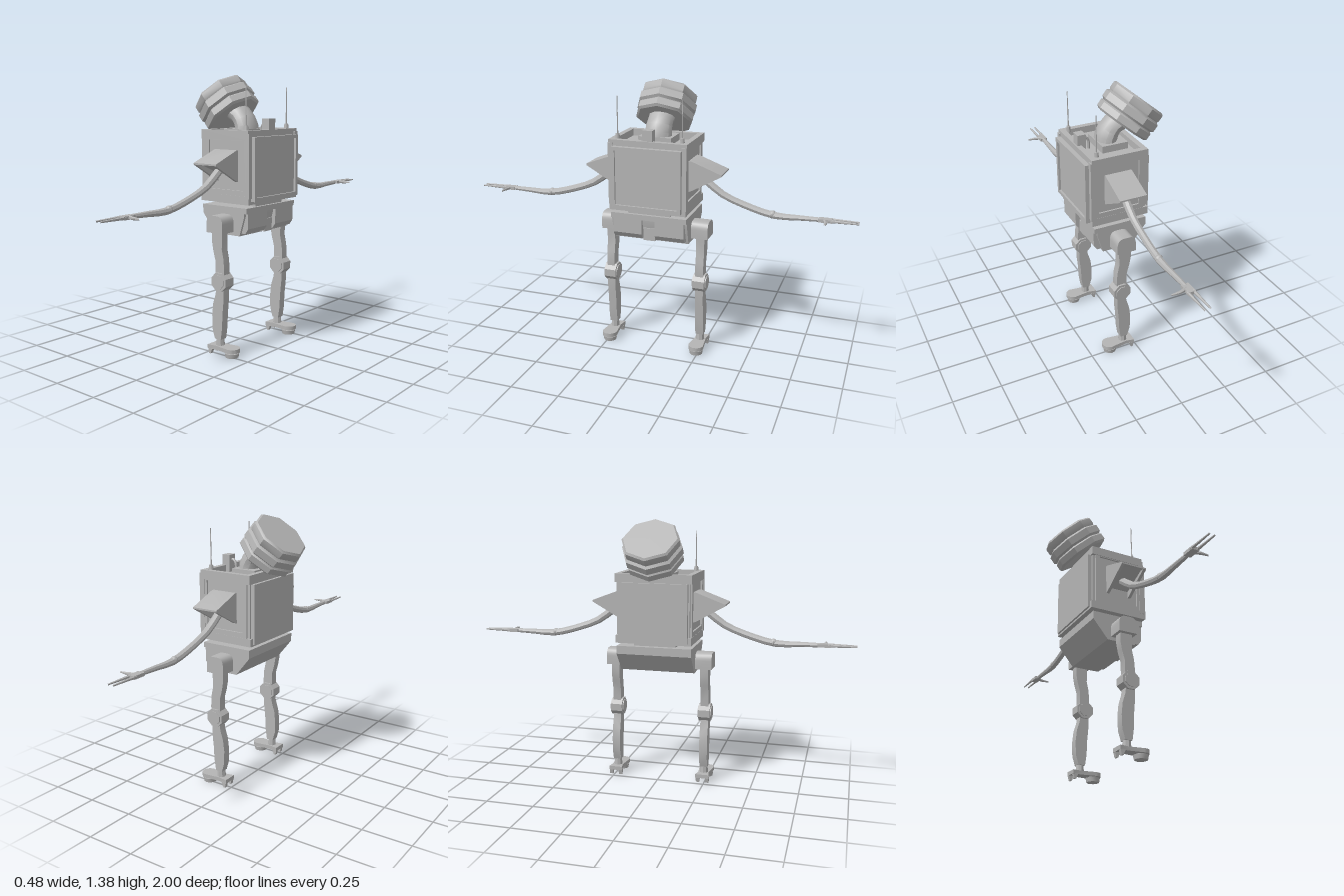
import * as THREE from 'three';
import { toCreasedNormals } from 'three/addons/utils/BufferGeometryUtils.js';

const grey = new THREE.MeshStandardMaterial({ color: 0xb4b4b4 });
grey.name = 'grey metal';

// Box from its min and max corners
function box(x0, x1, y0, y1, z0, z1) {
  return new THREE.BoxGeometry(x1 - x0, y1 - y0, z1 - z0)
    .translate((x0 + x1) / 2, (y0 + y1) / 2, (z0 + z1) / 2);
}
const poly = (pts) => new THREE.Shape(pts.map((p) => new THREE.Vector2(...p)));
// Profile in x,y pushed along z
function alongZ(shape, z0, z1) {
  return new THREE.ExtrudeGeometry(shape, { depth: z1 - z0, bevelEnabled: false, curveSegments: 6 })
    .translate(0, 0, z0);
}
// Profile in z,y pushed along x
function alongX(shape, x0, x1) {
  return new THREE.ExtrudeGeometry(shape, { depth: x1 - x0, bevelEnabled: false })
    .rotateY(-Math.PI / 2).translate(x1, 0, 0);
}
// Rectangular border
function frame(u0, u1, v0, v1, w) {
  const s = poly([[u0, v0], [u1, v0], [u1, v1], [u0, v1]]);
  s.holes.push(poly([[u0 + w, v0 + w], [u0 + w, v1 - w], [u1 - w, v1 - w], [u1 - w, v0 + w]]));
  return s;
}
// Round limb with a varying radius along points [x, y, z, radius]
function limb(points, sides = 8) {
  const curve = new THREE.CatmullRomCurve3(points.map((p) => new THREE.Vector3(p[0], p[1], p[2])));
  const n = (points.length - 1) * 2;
  const geo = new THREE.TubeGeometry(curve, n, 1, sides, false);
  const pos = geo.attributes.position;
  const v = new THREE.Vector3();
  for (let i = 0; i <= n; i++) {
    const c = curve.getPointAt(i / n);
    const t = (i / n) * (points.length - 1);
    const k = Math.min(Math.floor(t), points.length - 2);
    const r = THREE.MathUtils.lerp(points[k][3], points[k + 1][3], t - k);
    for (let j = 0; j <= sides; j++) {
      const id = i * (sides + 1) + j;
      v.fromBufferAttribute(pos, id).sub(c).multiplyScalar(r).add(c);
      pos.setXYZ(id, v.x, v.y, v.z);
    }
  }
  return geo;
}
// Mirror across z = 0, keeping faces outward
function mirrorZ(geo) {
  const g = geo.index ? geo.toNonIndexed() : geo.clone();
  g.scale(1, 1, -1);
  const p = g.attributes.position;
  const a = new THREE.Vector3(), b = new THREE.Vector3();
  for (let i = 0; i < p.count; i += 3) {
    a.fromBufferAttribute(p, i + 1);
    b.fromBufferAttribute(p, i + 2);
    p.setXYZ(i + 1, b.x, b.y, b.z);
    p.setXYZ(i + 2, a.x, a.y, a.z);
  }
  return g;
}

export function createModel() {
  const model = new THREE.Group();
  model.name = 'robot';
  const add = (name, geo) => {
    const mesh = new THREE.Mesh(toCreasedNormals(geo, 0.6), grey);
    mesh.name = name;
    model.add(mesh);
  };
  const pair = (name, geo) => {
    add(name + 'PlusZ', geo);
    add(name + 'MinusZ', mirrorZ(geo));
  };

  // Torso with an open top rim and a stepped base
  add('torso', box(-0.08, 0.205, 0.76, 1.08, -0.188, 0.188));
  add('torsoBase', box(-0.09, 0.212, 0.76, 0.8, -0.198, 0.198));
  add('topRim', alongZ(frame(-0.085, 0.21, -0.2, 0.2, 0.028), 0, 0.045)
    .rotateX(-Math.PI / 2).translate(0, 1.07, 0));
  add('chestPanel', box(-0.1, -0.08, 0.77, 1.07, -0.18, 0.18));
  add('backPanel', box(0.2, 0.224, 0.785, 1.075, -0.17, 0.17));
  add('backPanelFrame', alongX(frame(-0.178, 0.178, 0.775, 1.085, 0.018), 0.2, 0.235));
  pair('sideFrame', alongZ(frame(-0.065, 0.2, 0.8, 1.09, 0.025), 0.185, 0.197));
  pair('cornerPost', box(0.19, 0.216, 0.79, 1.1, 0.175, 0.2));

  // Aerials and the rear top block with its hook
  pair('aerial', new THREE.CylinderGeometry(0.002, 0.004, 0.22, 6).translate(0.17, 1.21, 0.165));
  pair('aerialBase', new THREE.CylinderGeometry(0.01, 0.013, 0.03, 8).translate(0.17, 1.123, 0.165));
  add('topBlock', box(0.16, 0.203, 1.07, 1.168, -0.025, 0.025));
  add('hook', limb([[0.135, 1.08, 0, 0.007], [0.138, 1.125, 0, 0.007],
    [0.15, 1.142, 0, 0.007], [0.165, 1.143, 0, 0.007]], 6));

  // Curved neck
  add('neck', limb([[0.04, 1.06, 0, 0.06], [0.045, 1.12, 0, 0.054],
    [0.015, 1.175, 0, 0.05], [-0.05, 1.215, 0, 0.055]], 12).scale(1, 1, 1.3));
  add('neckCollar', box(-0.035, 0.1, 1.07, 1.115, -0.085, 0.085));

  // Tilted eight-sided ribbed head
  const rings = [[0, -0.078], [0.138, -0.078], [0.15, -0.068], [0.15, -0.036], [0.142, -0.028],
    [0.155, -0.018], [0.155, 0.018], [0.142, 0.028], [0.147, 0.036], [0.147, 0.068],
    [0.138, 0.078], [0, 0.078]].map((p) => new THREE.Vector2(...p));
  add('head', new THREE.LatheGeometry(rings, 8)
    .rotateZ(THREE.MathUtils.degToRad(40)).translate(-0.088, 1.235, 0));

  // Waist and pelvis
  add('waist', box(-0.05, 0.185, 0.735, 0.77, -0.11, 0.11));
  add('pelvis', alongZ(poly([[-0.08, 0.7], [0, 0.602], [0.155, 0.602], [0.185, 0.7],
    [0.185, 0.742], [-0.08, 0.742]]), -0.197, 0.197));
  add('pelvisLip', box(0.17, 0.2, 0.715, 0.742, -0.197, 0.197));
  pair('pelvisPouch', alongZ(poly([[0.155, 0.615], [0.182, 0.615], [0.2, 0.64], [0.2, 0.717],
    [0.16, 0.717]]), 0.035, 0.185));
  add('pelvisStud', box(0.15, 0.182, 0.606, 0.67, -0.03, 0.03));

  // Shoulder hoods with a recessed underside
  const hood = poly([[0.185, 0.865], [0.2, 0.87], [0.352, 0.955], [0.352, 0.963], [0.2, 1.02], [0.185, 1.02]]);
  const inner = poly([[0.185, 0.9], [0.2, 0.905], [0.325, 0.958], [0.352, 0.955], [0.352, 0.963],
    [0.2, 1.02], [0.185, 1.02]]);
  pair('shoulderCheekInner', alongX(hood, 0, 0.016));
  pair('shoulderCheekOuter', alongX(hood, 0.124, 0.14));
  pair('shoulderHood', alongX(inner, 0.016, 0.124));

  // Arms and hands
  pair('arm', limb([[0.066, 0.945, 0.21, 0.02], [0.066, 0.905, 0.265, 0.02], [0.067, 0.85, 0.34, 0.018],
    [0.066, 0.803, 0.46, 0.018], [0.065, 0.768, 0.6, 0.018], [0.065, 0.769, 0.73, 0.014],
    [0.064, 0.77, 0.82, 0.011]]));
  pair('elbowRing', new THREE.SphereGeometry(0.02, 8, 6).translate(0.065, 0.772, 0.59));
  pair('palm', box(0.045, 0.083, 0.762, 0.778, 0.81, 0.875));
  for (const x of [0.05, 0.078]) {
    pair('finger', limb([[x, 0.771, 0.86, 0.008], [x, 0.771, 0.93, 0.006], [x, 0.771, 1, 0.004]], 6));
  }
  pair('thumb', limb([[0.07, 0.771, 0.835, 0.009], [0.105, 0.771, 0.848, 0.008],
    [0.15, 0.771, 0.848, 0.004]], 6));

  // Hip housings with rounded tops
  const hip = new THREE.Shape();
  hip.moveTo(0.018, 0.62);
  hip.lineTo(0.118, 0.62);
  hip.lineTo(0.118, 0.665);
  hip.quadraticCurveTo(0.116, 0.705, 0.083, 0.705);
  hip.lineTo(0.053, 0.705);
  hip.quadraticCurveTo(0.02, 0.705, 0.018, 0.665);
  pair('hip', alongZ(hip, 0.18, 0.283));

  // Legs
  pair('thigh', alongZ(poly([[0.035, 0.63], [0.034, 0.575], [0.042, 0.53], [0.056, 0.48], [0.057, 0.42],
    [0.062, 0.37], [0.108, 0.37], [0.112, 0.43], [0.108, 0.49], [0.097, 0.54], [0.1, 0.63]]), 0.22, 0.262));
  pair('knee', new THREE.CylinderGeometry(0.049, 0.049, 0.062, 8).rotateX(Math.PI / 2)
    .rotateZ(Math.PI / 8).translate(0.084, 0.376, 0.241));
  pair('kneeHub', new THREE.CylinderGeometry(0.036, 0.036, 0.072, 8).rotateX(Math.PI / 2)
    .rotateZ(Math.PI / 8).translate(0.084, 0.376, 0.241));
  pair('shin', alongZ(poly([[0.062, 0.36], [0.056, 0.31], [0.04, 0.26], [0.033, 0.2], [0.035, 0.13],
    [0.05, 0.08], [0.088, 0.08], [0.097, 0.14], [0.1, 0.21], [0.108, 0.29], [0.107, 0.36]]), 0.22, 0.262));
  pair('ankle', new THREE.CylinderGeometry(0.019, 0.024, 0.055, 8).translate(0.068, 0.062, 0.241));

  // Feet: rounded sole plate, round pad and small claws
  const sole = new THREE.Shape();
  sole.moveTo(0.015, -0.036);
  sole.lineTo(0.06, -0.028);
  sole.lineTo(0.145, -0.038);
  sole.absarc(0.145, 0, 0.039, -Math.PI / 2, Math.PI / 2, false);
  sole.lineTo(0.06, 0.028);
  sole.lineTo(0.015, 0.036);
  pair('sole', alongZ(sole, 0, 0.02).rotateX(-Math.PI / 2).translate(0, 0.027, 0.241));
  pair('footPad', new THREE.CylinderGeometry(0.037, 0.033, 0.022, 12).translate(0.143, 0.011, 0.241));
  pair('padStem', new THREE.CylinderGeometry(0.025, 0.025, 0.014, 12).translate(0.143, 0.025, 0.241));
  for (const z of [0.216, 0.266]) {
    pair('claw', alongZ(poly([[0.022, 0.002], [0.032, 0.002], [0.044, 0.03], [0.016, 0.03]]), z - 0.009, z + 0.009));
  }
  return model;
}
